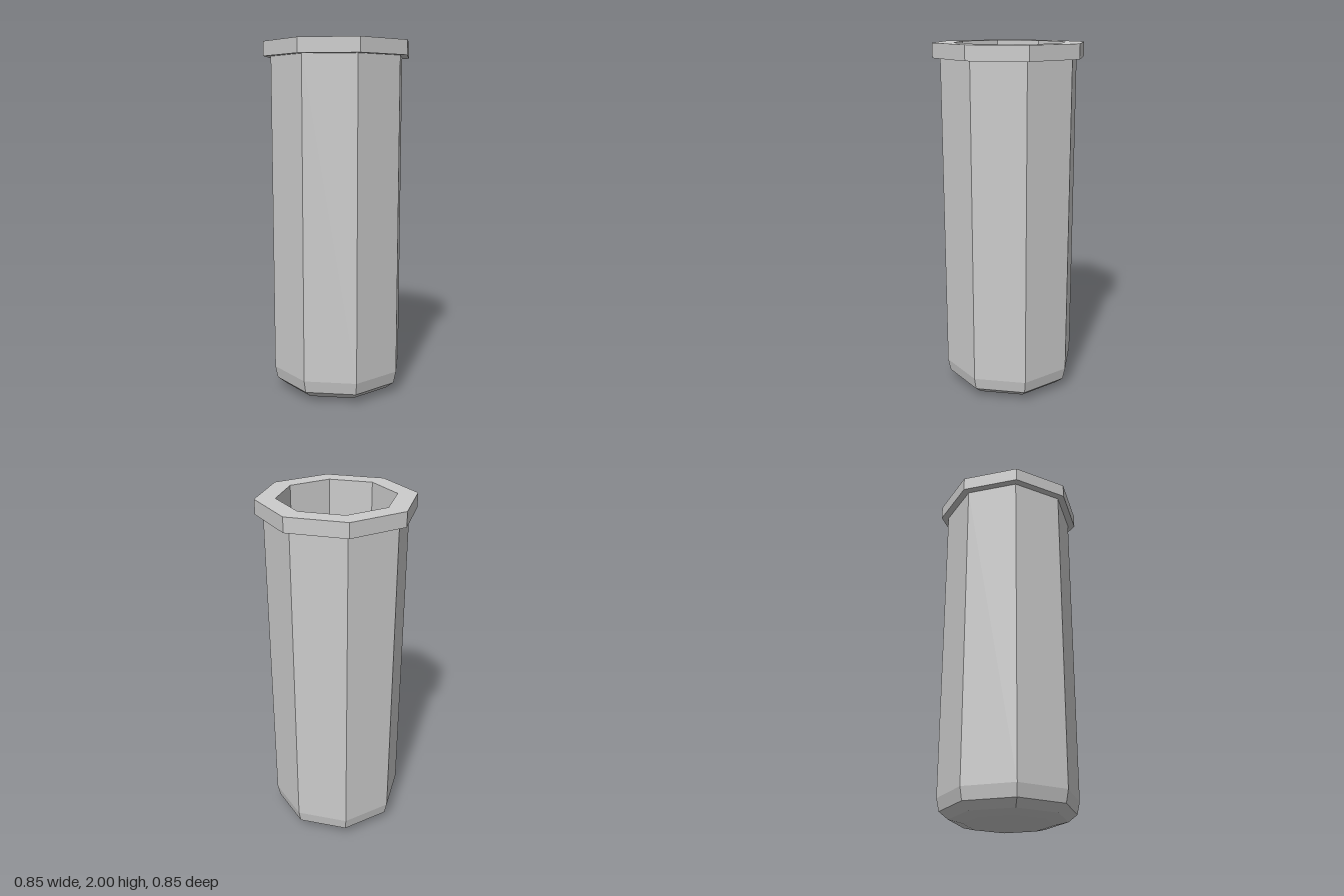
import * as THREE from 'three';

const SIDES = 8;

// Faceted octagonal surface from a radius/height profile, corners on the x and z axes
function faceted(name, profile, material) {
  const points = profile.map(([r, y]) => new THREE.Vector2(r, y));
  const mesh = new THREE.Mesh(new THREE.LatheGeometry(points, SIDES), material);
  mesh.name = name;
  return mesh;
}

export function createModel() {
  const model = new THREE.Group();
  model.name = 'octagonalTube';
  const grey = new THREE.MeshStandardMaterial({ color: 0xcccccc, flatShading: true });

  // Outer wall with rounded-off closed bottom
  model.add(faceted('outerBody', [
    [0, 0], [0.24, 0], [0.32, 0.02], [0.37, 0.06], [0.385, 0.13], [0.385, 1.92],
  ], grey));

  // Flange around the mouth
  model.add(faceted('rim', [
    [0.385, 1.92], [0.427, 1.92], [0.427, 2], [0.318, 2],
  ], grey));

  // Hollow inside, with a shallow sloping floor
  model.add(faceted('innerCavity', [
    [0.318, 2], [0.318, 0.16], [0.1, 0.07], [0, 0.07],
  ], grey));

  return model;
}
